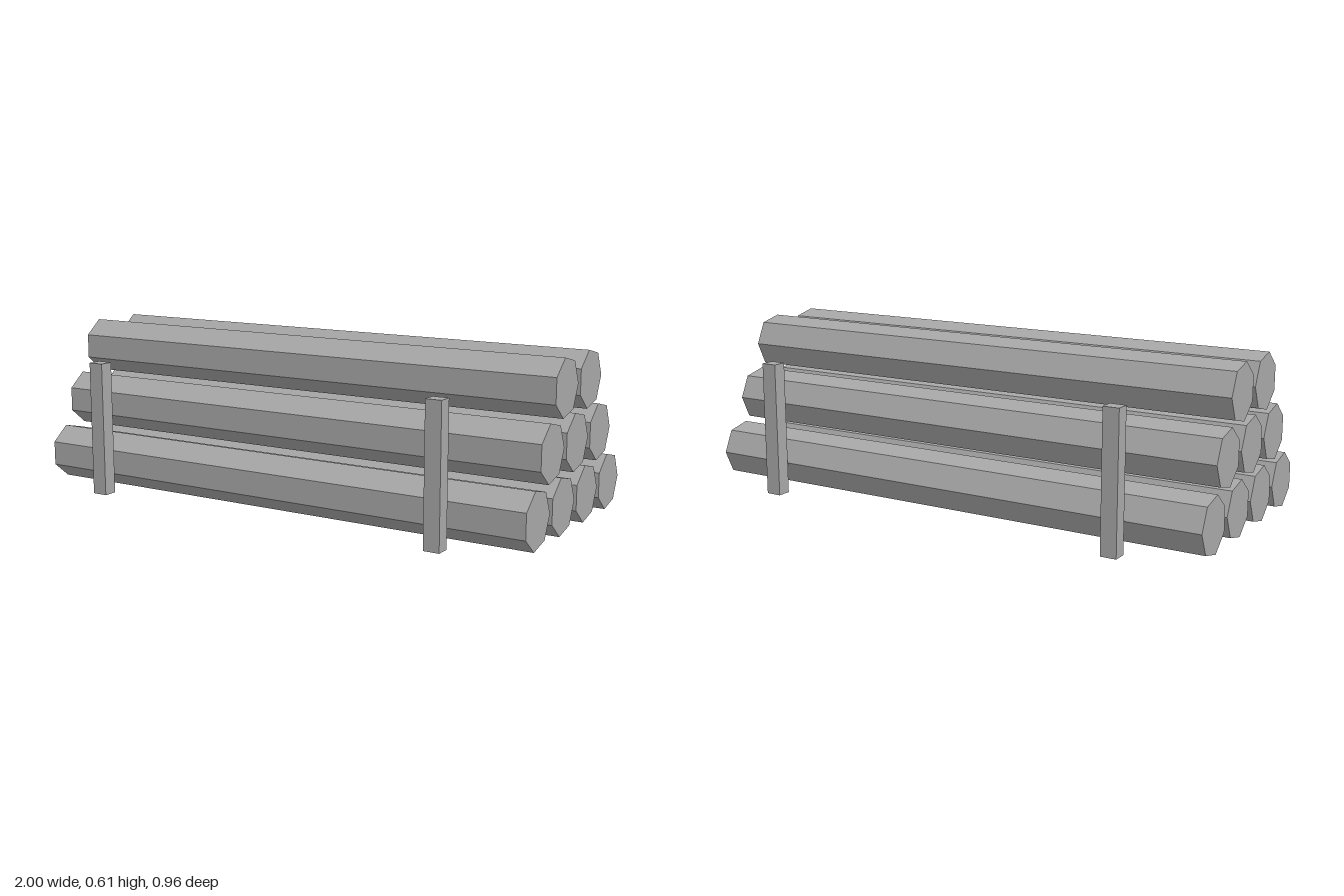
import * as THREE from 'three';

export function createModel() {
  const model = new THREE.Group();
  model.name = 'logStack';
  const grey = new THREE.MeshStandardMaterial({ color: 0xa8a8a8 });
  grey.name = 'plain grey';
  grey.flatShading = true;

  // Seven-sided log lying along x, one corner pointing to the back
  const logGeometry = new THREE.CylinderGeometry(0.1003, 0.1003, 2, 7, 1, false, Math.PI);
  logGeometry.rotateZ(Math.PI / 2);
  logGeometry.scale(1, 1.034, 1);

  // Rows of four, three and two logs
  [4, 3, 2].forEach((count, row) => {
    for (let i = 0; i < count; i++) {
      const log = new THREE.Mesh(logGeometry, grey);
      log.name = `logRow${row + 1}Number${i + 1}`;
      log.position.set(0, 0.111 + row * 0.2, ((count - 1) / 2 - i) * 0.2118);
      model.add(log);
    }
  });

  // Upright posts holding the stack at both sides
  const postGeometry = new THREE.BoxGeometry(0.059, 0.5, 0.052);
  for (const x of [-1, 1]) {
    for (const z of [-1, 1]) {
      const post = new THREE.Mesh(postGeometry, grey);
      post.name = `${z > 0 ? 'front' : 'back'}${x > 0 ? 'Left' : 'Right'}Post`;
      post.position.set(x * 0.705, 0.25, z * 0.455);
      model.add(post);
    }
  }
  return model;
}
